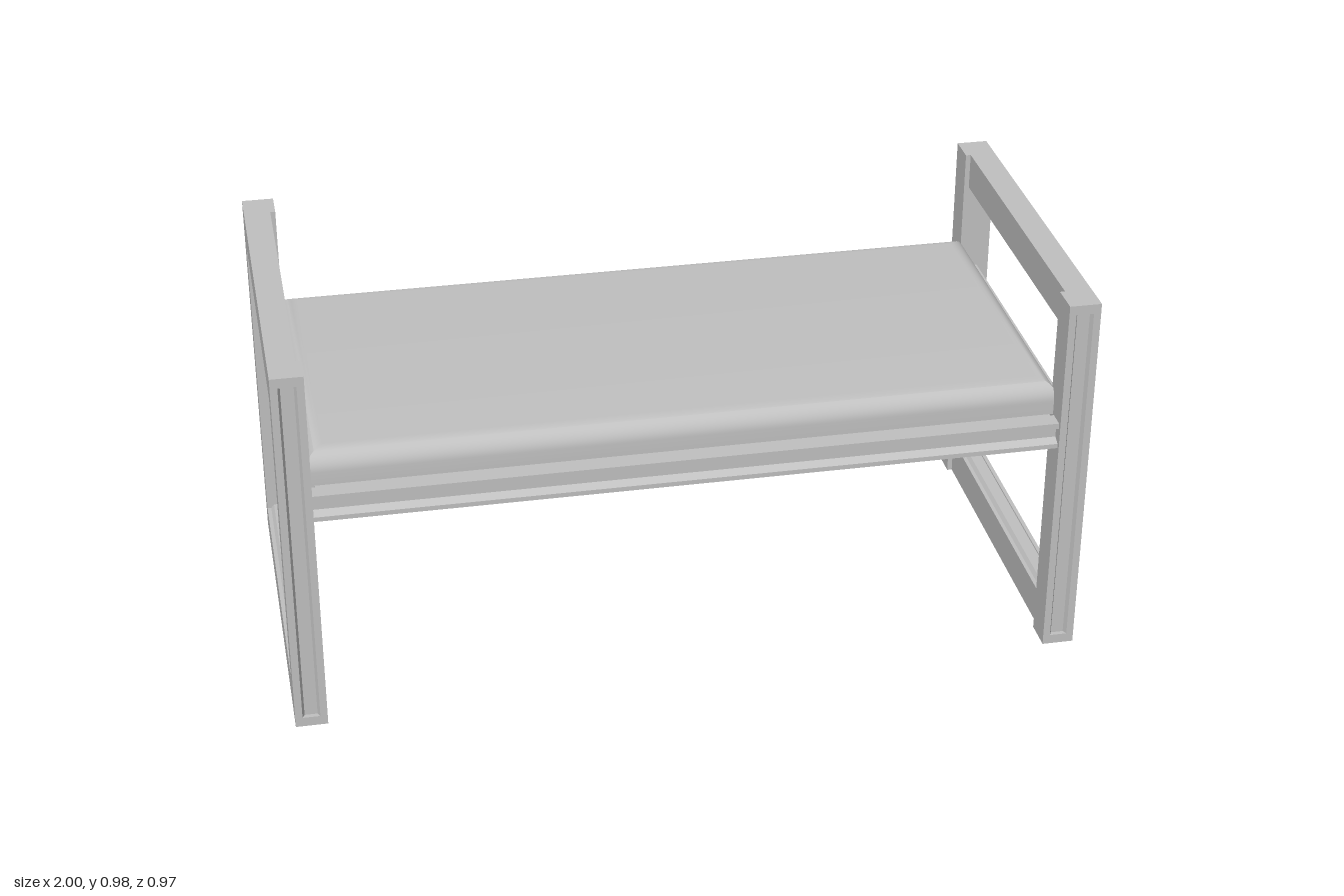
import * as THREE from 'three';
import { toCreasedNormals } from 'three/addons/utils/BufferGeometryUtils.js';

const gray = new THREE.MeshStandardMaterial({ color: 0xc0c0c0 });
gray.name = 'plain gray';

function mesh(name, geometry) {
  const m = new THREE.Mesh(geometry, gray);
  m.name = name;
  return m;
}

function box(name, x0, x1, y0, y1, z0, z1) {
  const g = new THREE.BoxGeometry(x1 - x0, y1 - y0, z1 - z0);
  g.translate((x0 + x1) / 2, (y0 + y1) / 2, (z0 + z1) / 2);
  return mesh(name, g);
}

// Straight bar with an (x, y) profile, centred along z
function bar(points, length) {
  const shape = new THREE.Shape(points.map(([x, y]) => new THREE.Vector2(x, y)));
  const g = new THREE.ExtrudeGeometry(shape, { depth: length, bevelEnabled: false });
  return g.translate(0, 0, -length / 2);
}

// Post centred on its own axis, with a shallow groove in its outer (+z) face
function post() {
  const g = new THREE.Group();
  g.name = 'post';
  const h = 0.04;
  const shaft = bar([[-h, h], [-h, -h], [-0.022, -h], [-0.016, -h + 0.012],
    [0.016, -h + 0.012], [0.022, -h], [h, -h], [h, h]], 0.93);
  shaft.rotateX(-Math.PI / 2).translate(0, 0.49, 0);
  g.add(mesh('groovedShaft', shaft));
  g.add(box('footCap', -h, h, 0, 0.025, -h, h));
  g.add(box('topCap', -h, h, 0.955, 0.98, -h, h));
  return g;
}

// Side frame: two posts and two bars with a bevelled inner strip
function endFrame() {
  const g = new THREE.Group();
  g.name = 'endFrame';
  for (const s of [1, -1]) {
    const p = post();
    p.position.set(0.96, 0, s * 0.445);
    if (s < 0) p.rotation.y = Math.PI;
    g.add(p);
  }
  const lower = [[0.933, 0], [1, 0], [1, 0.095], [0.99, 0.095], [0.982, 0.105],
    [0.951, 0.105], [0.943, 0.095], [0.933, 0.095]];
  const upper = lower.map(([x, y]) => [x, 0.98 - y]).reverse();
  g.add(mesh('bottomBar', bar(lower, 0.81)));
  g.add(mesh('topBar', bar(upper, 0.81)));
  return g;
}

// Channel rail profile: two lips with sloped inner faces around a web
function channel(inner, web, outer, y0, y1) {
  return [[inner, y0], [outer, y0], [outer, y0 + 0.012], [web, y0 + 0.022],
    [web, y1 - 0.026], [outer, y1 - 0.015], [outer, y1], [inner, y1]];
}

// Cushion made of rectangular rings that shrink over a rounded top edge
function cushion(hx, hz, y0, y1, r) {
  const rings = [[0, y0]];
  const steps = 10;
  for (let i = 0; i <= steps; i++) {
    const t = (i / steps) * Math.PI / 2;
    rings.push([r * (1 - Math.cos(t)), y1 - r + r * Math.sin(t)]);
  }
  const pos = [], index = [];
  for (const [d, y] of rings) {
    const x = hx - d, z = hz - d;
    pos.push(-x, y, z, x, y, z, x, y, -z, -x, y, -z);
  }
  for (let i = 0; i < rings.length - 1; i++) {
    for (let k = 0; k < 4; k++) {
      const a = i * 4 + k, b = i * 4 + (k + 1) % 4;
      index.push(a, b, b + 4, a, b + 4, a + 4);
    }
  }
  const n = (rings.length - 1) * 4;
  index.push(n, n + 1, n + 2, n, n + 2, n + 3, 0, 2, 1, 0, 3, 2);
  const g = new THREE.BufferGeometry();
  g.setAttribute('position', new THREE.Float32BufferAttribute(pos, 3));
  g.setIndex(index);
  return toCreasedNormals(g, 0.6);
}

export function createModel() {
  const model = new THREE.Group();
  model.name = 'bench';

  // Each half: end frame, end rail and long rail, repeated by a half turn
  for (const turn of [0, Math.PI]) {
    const half = new THREE.Group();
    half.name = turn ? 'rightHalf' : 'leftHalf';
    half.add(endFrame());
    half.add(mesh('endRail', bar(channel(0.905, 0.945, 0.968, 0.55, 0.65), 0.81)));
    const side = bar(channel(0.432, 0.455, 0.475, 0.58, 0.65), 1.84);
    half.add(mesh('sideRail', side.rotateY(-Math.PI / 2)));
    half.rotation.y = turn;
    model.add(half);
  }

  // Seat board and cushion
  model.add(box('seatBoard', -0.91, 0.91, 0.62, 0.65, -0.433, 0.433));
  model.add(mesh('cushion', cushion(0.932, 0.425, 0.65, 0.735, 0.05)));
  return model;
}
